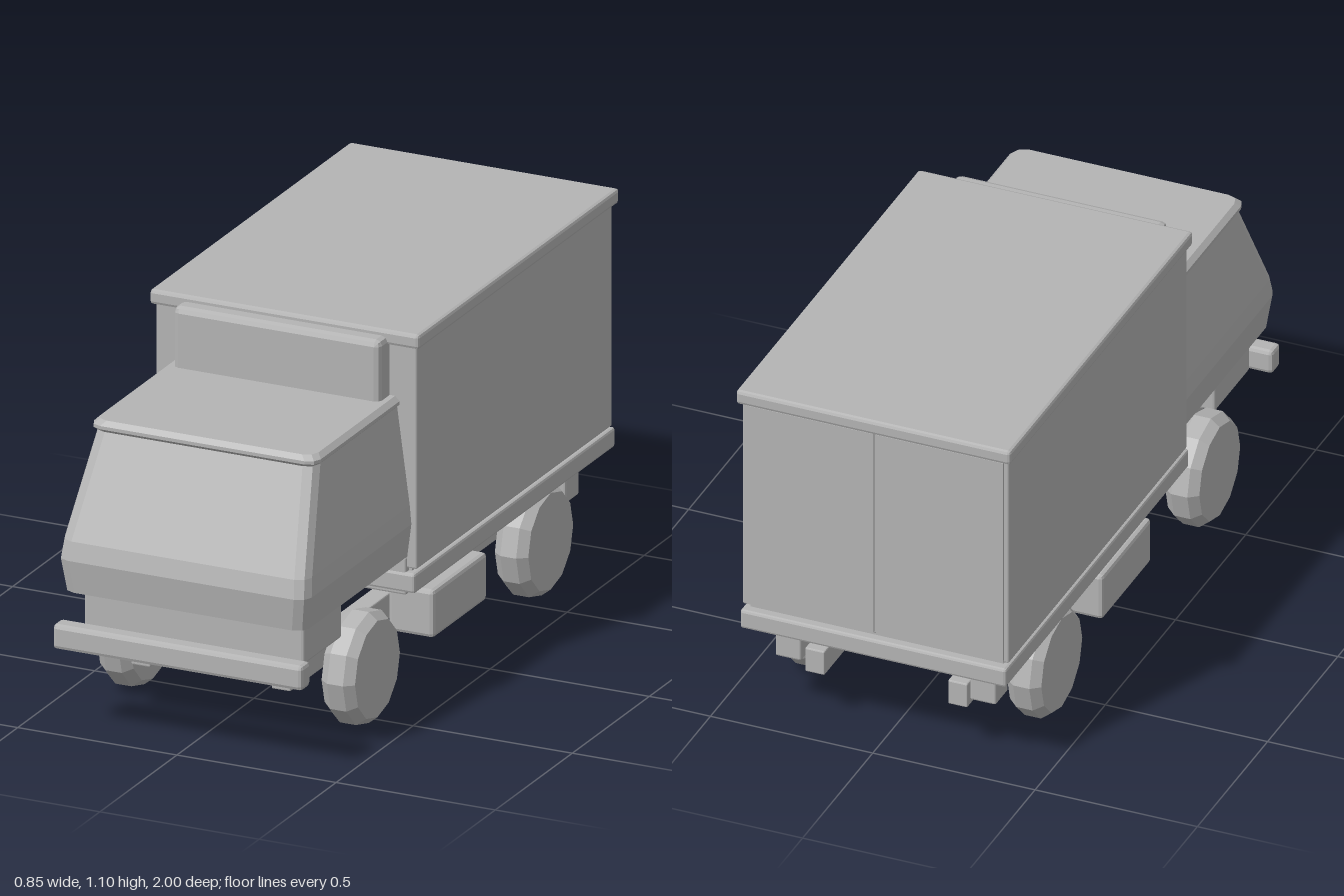
import * as THREE from 'three';
import { RoundedBoxGeometry } from 'three/addons/geometries/RoundedBoxGeometry.js';

const grey = new THREE.MeshStandardMaterial({ color: 0xb4b4b4, flatShading: true });
grey.name = 'plain grey';

export function createModel() {
  const truck = new THREE.Group();
  truck.name = 'boxTruck';

  const add = (name, geometry) => {
    const mesh = new THREE.Mesh(geometry, grey);
    mesh.name = name;
    truck.add(mesh);
    return mesh;
  };

  // Chamfered block given by its limits on each axis
  const block = (name, [x0, x1], [y0, y1], [z0, z1], bevel = 0.008) => {
    const size = [x1 - x0, y1 - y0, z1 - z0];
    const geometry = bevel
      ? new RoundedBoxGeometry(...size, 1, bevel)
      : new THREE.BoxGeometry(...size);
    const mesh = add(name, geometry);
    mesh.position.set((x0 + x1) / 2, (y0 + y1) / 2, (z0 + z1) / 2);
    return mesh;
  };

  // Cargo body: floor, recessed sill, walls and overhanging roof
  block('cargoFloor', [-0.41, 0.41], [0.315, 0.375], [-1, 0.305]);
  block('cargoSill', [-0.39, 0.39], [0.37, 0.4], [-0.97, 0.28], 0);
  block('cargoBox', [-0.41, 0.41], [0.385, 1.06], [-0.98, 0.29], 0.005);
  block('cargoRoof', [-0.423, 0.423], [1.055, 1.1], [-1, 0.305], 0.01);
  block('floorBeam', [-0.38, 0.38], [0.305, 0.42], [0.19, 0.3], 0.006);

  // Cab shell lofted through cross-sections: height, half width, front z
  add('cab', loftCab([
    [0.42, 0.38, 0.96],
    [0.52, 0.393, 0.975],
    [0.575, 0.388, 0.962],
    [0.87, 0.348, 0.825],
  ], 0.28, 0.038));
  add('cabRoof', loftCab([
    [0.864, 0.344, 0.824],
    [0.876, 0.356, 0.836],
    [0.886, 0.356, 0.836],
    [0.9, 0.342, 0.822],
  ], 0.28, 0.035));
  block('windDeflector', [-0.325, 0.325], [0.86, 1.082], [0.27, 0.357], 0.018);
  block('cabBase', [-0.345, 0.345], [0.29, 0.44], [0.64, 0.89]);
  block('frontBumper', [-0.392, 0.392], [0.255, 0.33], [0.94, 1], 0.012);

  // Twelve-sided wheels with bevelled shoulders, turned about the x axis
  const wheelProfile = [
    [0, -0.0525], [0.146, -0.0525], [0.168, -0.025],
    [0.168, 0.025], [0.146, 0.0525], [0, 0.0525],
  ].map(([r, y]) => new THREE.Vector2(r, y));
  const wheelGeometry = new THREE.LatheGeometry(wheelProfile, 12).rotateZ(Math.PI / 2);

  for (const [side, s] of [['left', 1], ['right', -1]]) {
    const span = (a, b) => (s > 0 ? [a, b] : [-b, -a]);

    for (const [end, z] of [['Front', 0.535], ['Rear', -0.59]]) {
      add(side + end + 'Wheel', wheelGeometry).position.set(s * 0.3525, 0.168, z);
    }
    block(side + 'ChassisRail', span(0.19, 0.25), [0.157, 0.235], [-0.905, 0.78], 0.004);

    // Side storage boxes sit at slightly different places
    const shift = s > 0 ? 0.055 : 0;
    block(side + 'SideBox', span(0.247, 0.39), [0.12, 0.265], [-0.265 + shift, 0.085 + shift], 0.012);
    block(side + 'TailLamp', span(0.26, 0.34), [0.19, 0.275], [-0.91, -0.82], 0.006);
    block(side + 'RearDoor', span(0.004, 0.395), [0.392, 1.05], [-0.987, -0.978], 0);
  }

  return truck;
}

// Closed shell from stacked plan sections with rounded front corners
function loftCab(sections, back, r) {
  const c = r * 0.29;
  const rings = sections.map(([y, w, front]) => [
    [-w, back], [-w, front - r], [-w + c, front - c], [-w + r, front],
    [w - r, front], [w - c, front - c], [w, front - r], [w, back],
  ].map(([x, z]) => [x, y, z]));
  const n = rings[0].length;
  const index = [];
  for (let k = 0; k < rings.length - 1; k++) {
    for (let i = 0; i < n; i++) {
      const a = k * n + i, b = k * n + (i + 1) % n;
      index.push(a, b, b + n, a, b + n, a + n);
    }
  }
  const top = (rings.length - 1) * n;
  for (let i = 1; i < n - 1; i++) {
    index.push(top, top + i, top + i + 1, 0, i + 1, i);
  }
  const geometry = new THREE.BufferGeometry();
  geometry.setAttribute('position', new THREE.Float32BufferAttribute(rings.flat(2), 3));
  geometry.setIndex(index);
  const flat = geometry.toNonIndexed();
  flat.computeVertexNormals();
  return flat;
}
